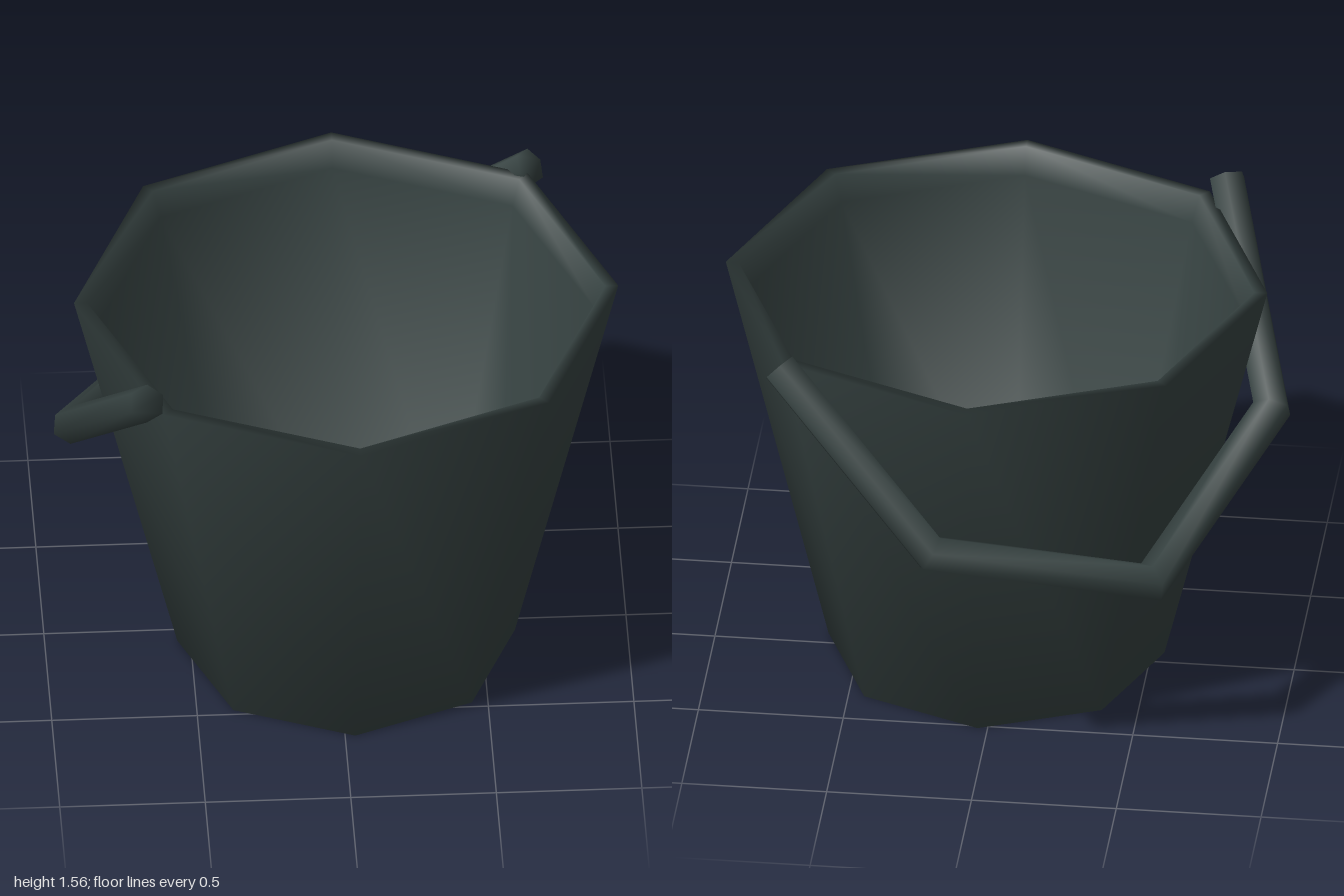
import * as THREE from 'three';

// Sweeps a regular polygon along a path with mitred corners and closed ends
function sweepBar(path, radius, sides, planeNormal) {
  const pos = [], index = [];
  path.forEach((p, i) => {
    const dirIn = p.clone().sub(path[Math.max(i - 1, 0)]).normalize();
    const dirOut = path[Math.min(i + 1, path.length - 1)].clone().sub(p).normalize();
    const tangent = dirIn.clone().add(dirOut).normalize();
    const ref = dirOut.lengthSq() > 0 ? dirOut : dirIn;
    const across = new THREE.Vector3().crossVectors(planeNormal, tangent).normalize();
    const up = new THREE.Vector3().crossVectors(tangent, across);
    const mitre = 1 / Math.max(0.5, tangent.dot(ref));
    for (let s = 0; s < sides; s++) {
      const a = (s / sides) * Math.PI * 2;
      const v = p.clone()
        .addScaledVector(across, Math.cos(a) * radius * mitre)
        .addScaledVector(up, Math.sin(a) * radius);
      pos.push(v.x, v.y, v.z);
    }
  });
  const last = (path.length - 1) * sides;
  for (let i = 0; i < path.length - 1; i++) {
    for (let s = 0; s < sides; s++) {
      const a = i * sides + s, b = i * sides + (s + 1) % sides;
      index.push(a, b, a + sides, b, b + sides, a + sides);
    }
  }
  for (let s = 1; s < sides - 1; s++) {
    index.push(0, s + 1, s, last, last + s, last + s + 1);
  }
  const geo = new THREE.BufferGeometry();
  geo.setAttribute('position', new THREE.Float32BufferAttribute(pos, 3));
  geo.setIndex(index);
  geo.computeVertexNormals();
  return geo;
}

export function createModel() {
  const group = new THREE.Group();
  group.name = 'bucket';
  const darkMetal = new THREE.MeshStandardMaterial({ color: 0x364241 });
  darkMetal.name = 'darkMetal';

  // Eight-sided tapered body: base, outer wall, rim, inner wall, floor
  const profile = [
    [0, 0], [0.58, 0], [0.935, 1.455], [0.89, 1.455],
    [0.855, 1.36], [0.53, 0.06], [0, 0.06],
  ].map(([x, y]) => new THREE.Vector2(x, y));
  const body = new THREE.Mesh(new THREE.LatheGeometry(profile, 8), darkMetal);
  body.name = 'bucketBody';
  body.position.set(0.035, 0, 0.065);
  group.add(body);

  // Bail handle hanging down over the back right
  const path = [
    [-0.685, 1.51, 0.73], [-0.91, 0.97, 0.11], [-0.58, 0.7, -0.645],
    [0.15, 0.935, -0.93], [0.705, 1.46, -0.63],
  ].map((p) => new THREE.Vector3(...p));
  const planeNormal = new THREE.Vector3().crossVectors(
    path[0].clone().sub(path[2]), path[4].clone().sub(path[2])).normalize();
  const handle = new THREE.Mesh(sweepBar(path, 0.065, 6, planeNormal), darkMetal);
  handle.name = 'handle';
  group.add(handle);

  return group;
}
